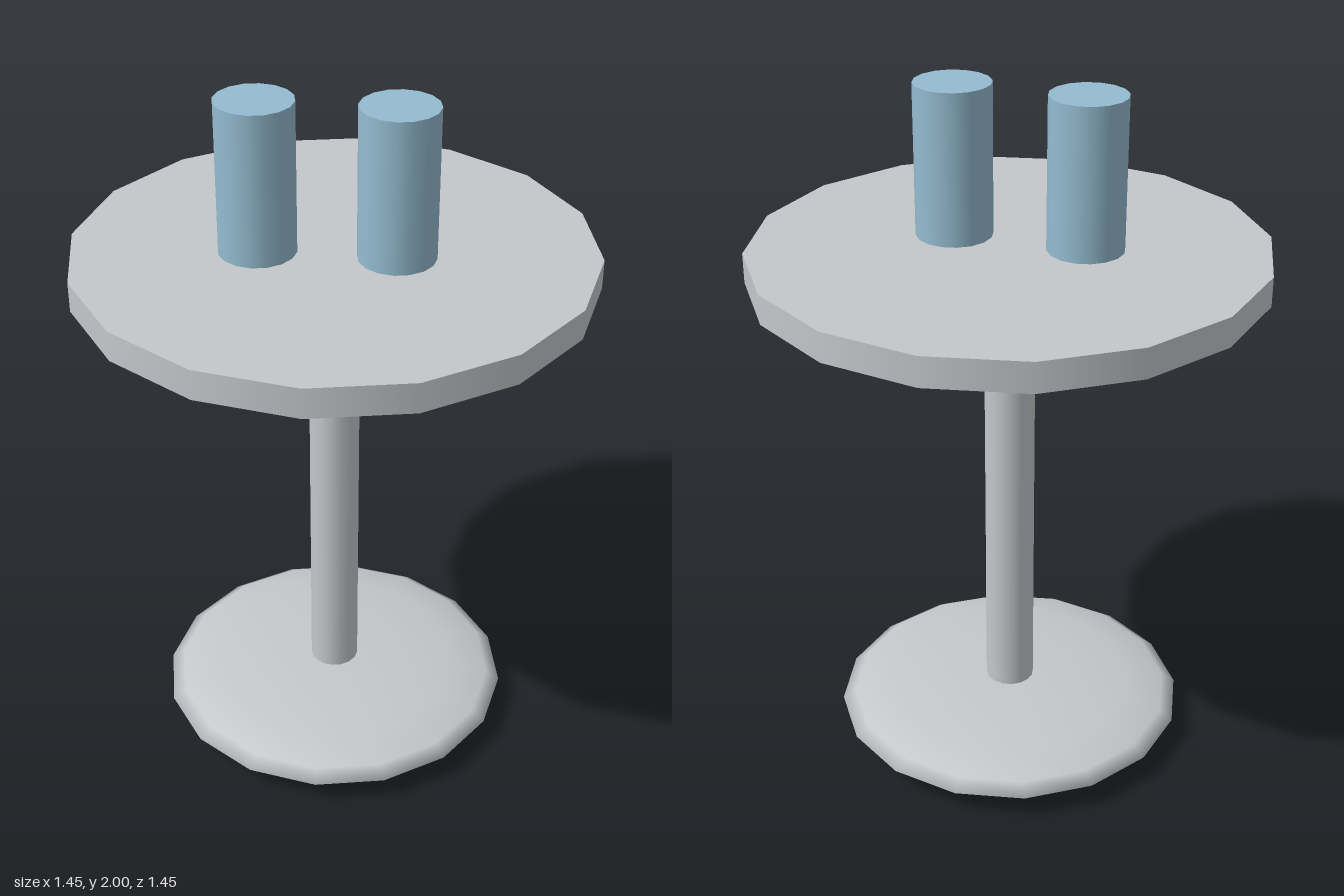
import * as THREE from 'three';

export function createModel() {
  const model = new THREE.Group();
  model.name = 'pedestalTable';

  const grey = new THREE.MeshStandardMaterial({ name: 'light grey', color: 0xc4c8cb });
  const blue = new THREE.MeshStandardMaterial({ name: 'pale blue', color: 0x94bcd0 });

  // Upright cylinder spanning bottom..top
  function cylinder(name, radius, bottom, top, material, x = 0, z = 0) {
    const mesh = new THREE.Mesh(new THREE.CylinderGeometry(radius, radius, top - bottom, 16), material);
    mesh.name = name;
    mesh.position.set(x, (bottom + top) / 2, z);
    model.add(mesh);
  }

  // Flattened rounded foot
  const base = new THREE.Mesh(new THREE.SphereGeometry(1, 16, 8).scale(0.52, 0.073, 0.52), grey);
  base.name = 'base';
  base.position.y = 0.073;
  model.add(base);

  // Central column and round top
  cylinder('column', 0.072, 0.08, 1.5, grey);
  cylinder('tableTop', 0.723, 1.485, 1.57, grey);

  // Two cups standing on the table
  cylinder('rightCup', 0.108, 1.565, 2, blue, -0.174, 0.113);
  cylinder('leftCup', 0.108, 1.565, 2, blue, 0.174, -0.031);

  return model;
}
